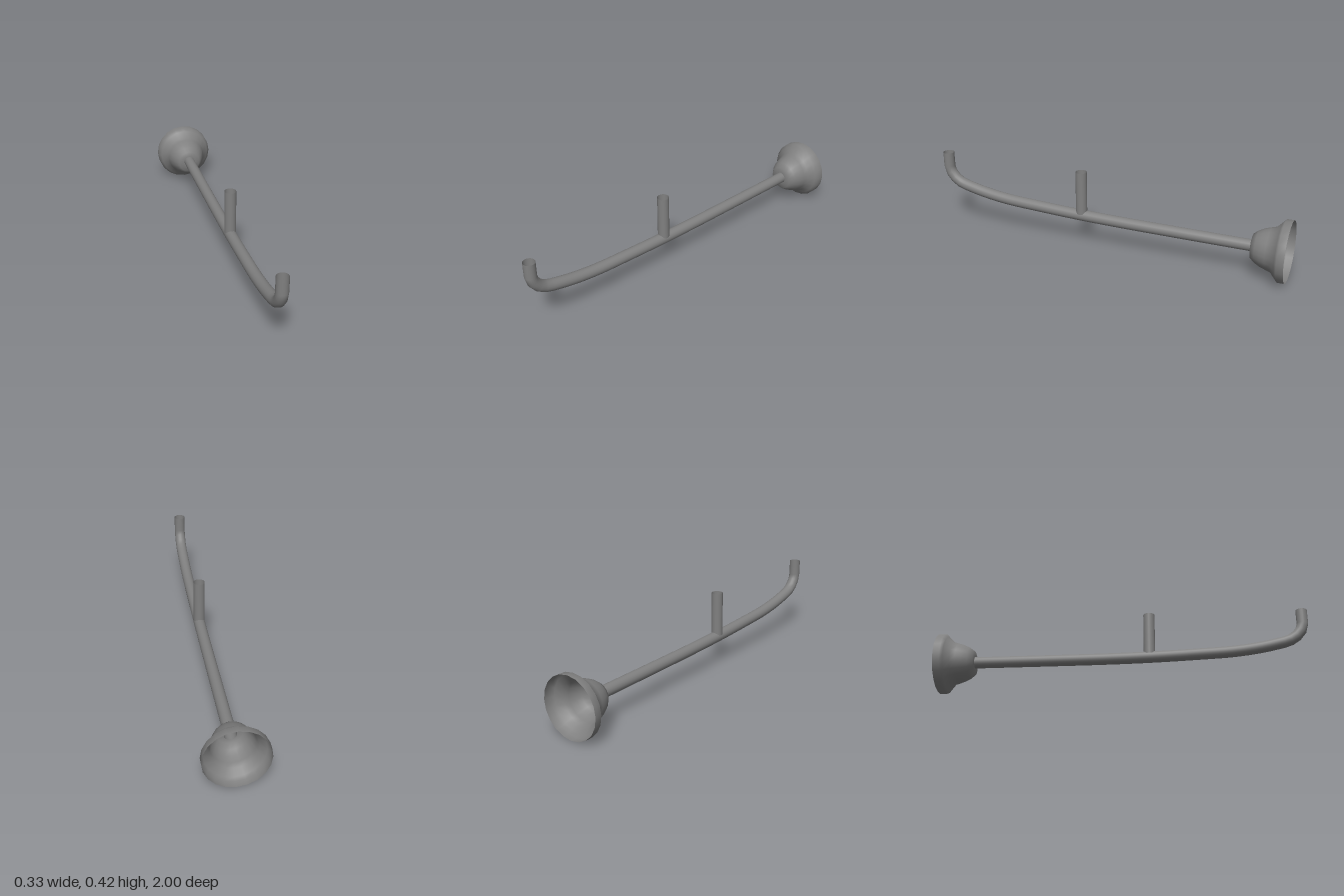
import * as THREE from 'three';

export function createModel() {
  const group = new THREE.Group();
  const metal = new THREE.MeshStandardMaterial({ color: 0x808080, side: THREE.DoubleSide });
  metal.name = 'grey metal';
  const axisY = 0.165;
  const pipeRadius = 0.031;

  const add = (name, geometry) => {
    const mesh = new THREE.Mesh(geometry, metal);
    mesh.name = name;
    group.add(mesh);
    return mesh;
  };

  // Bell-shaped wall flange, open at the back: [radius, z]
  const profile = [
    [0.163, -1], [0.163, -0.963], [0.148, -0.95], [0.118, -0.922],
    [0.11, -0.895], [0.1, -0.865], [0.085, -0.835], [0.065, -0.81], [0.03, -0.808],
  ].map(([r, z]) => new THREE.Vector2(r, z));
  const flange = add('wallFlange', new THREE.LatheGeometry(profile, 20).rotateX(Math.PI / 2));
  flange.position.y = axisY;

  // Long arm curving up into an open tip
  const path = new THREE.CatmullRomCurve3([
    [0.167, -0.83], [0.167, -0.4], [0.168, -0.1], [0.172, 0.14], [0.181, 0.38],
    [0.195, 0.62], [0.224, 0.8], [0.26, 0.915], [0.318, 0.964], [0.37, 0.969], [0.425, 0.969],
  ].map(([y, z]) => new THREE.Vector3(0, y, z)));
  add('curvedArm', new THREE.TubeGeometry(path, 48, pipeRadius, 20));

  // Open upright peg on the arm
  const peg = add('uprightPeg', new THREE.CylinderGeometry(pipeRadius, pipeRadius, 0.24, 20, 1, true));
  peg.position.set(0, 0.305, 0.14);

  return group;
}
